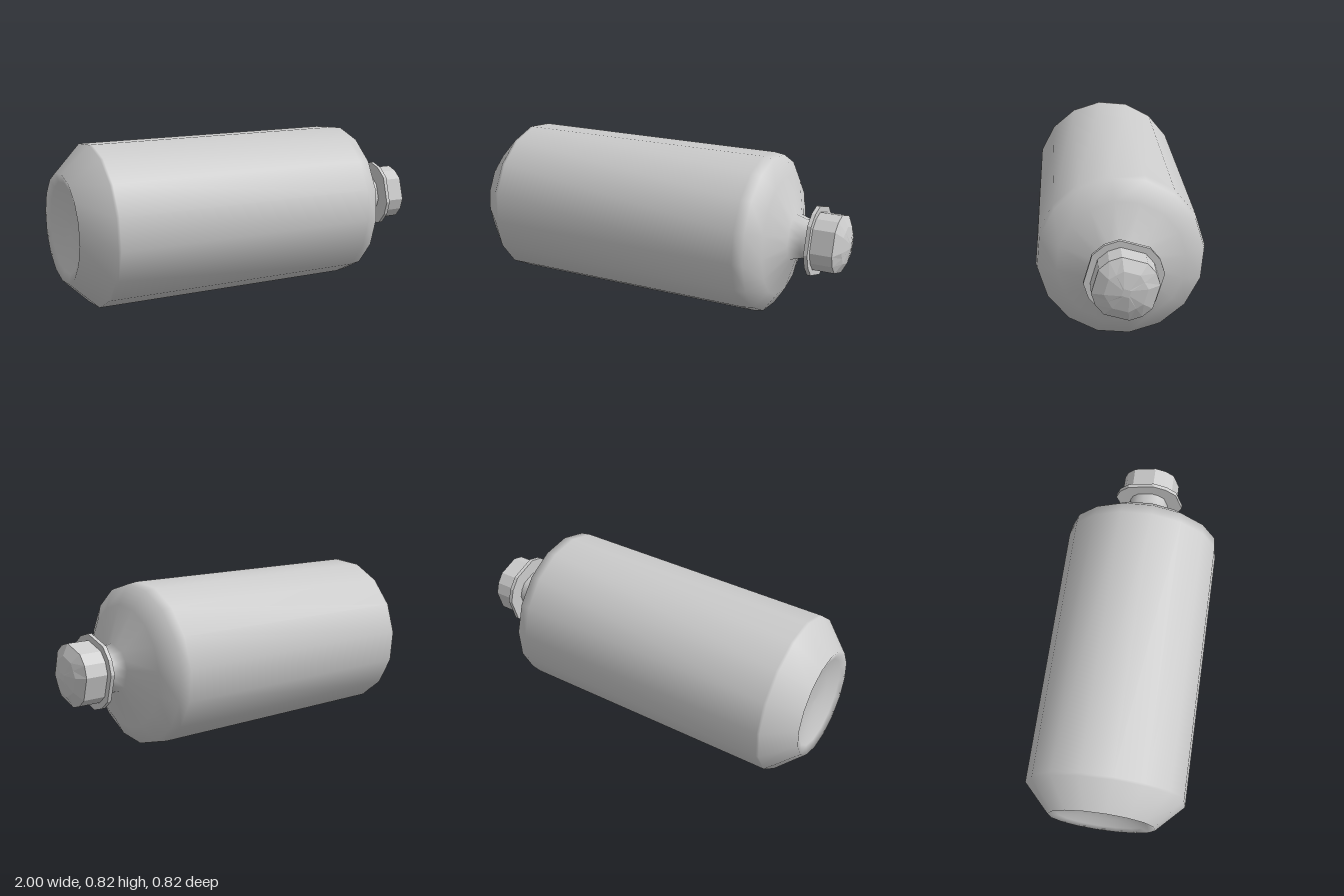
import * as THREE from 'three';

const SIDES = 16, START = -6 * Math.PI / 180, CENTRE_Y = 0.412;

// Which of the 16 corners a ring keeps; dropped corners lie on the chord between kept ones
const all = () => true;
const twelve = k => k % 4 !== 1;
const eight = k => k % 2 === 0;
const four = k => k % 4 === 3;

function corner(k, r) {
  const a = START + k * Math.PI * 2 / SIDES;
  return [CENTRE_Y + r * Math.cos(a), -r * Math.sin(a)];
}

function ringPoint(k, r, keep) {
  let lo = k, hi = k;
  while (!keep((lo + SIDES) % SIDES)) lo--;
  while (!keep(hi % SIDES)) hi++;
  const t = hi === lo ? 0 : (k - lo) / (hi - lo);
  const p = corner(lo, r), q = corner(hi, r);
  return [p[0] + (q[0] - p[0]) * t, p[1] + (q[1] - p[1]) * t];
}

// Skin a row of [x, radius, keep] rings along the x axis
function loft(name, rings, flat) {
  const pos = [], idx = [];
  rings.forEach(([x, r, keep = all], i) => {
    for (let k = 0; k < SIDES; k++) {
      pos.push(x, ...ringPoint(k, r, keep));
      if (i === rings.length - 1) continue;
      const a = i * SIDES + k, c = i * SIDES + (k + 1) % SIDES;
      const b = a + SIDES, d = c + SIDES;
      if (r > 0) idx.push(a, b, c);
      if (rings[i + 1][1] > 0) idx.push(c, b, d);
    }
  });
  let geo = new THREE.BufferGeometry();
  geo.setAttribute('position', new THREE.Float32BufferAttribute(pos, 3));
  geo.setIndex(idx);
  if (flat) geo = geo.toNonIndexed();
  geo.computeVertexNormals();
  const mesh = new THREE.Mesh(geo, new THREE.MeshStandardMaterial({ color: 0xcccccc, flatShading: flat }));
  mesh.name = name;
  return mesh;
}

export function createModel() {
  const group = new THREE.Group();
  group.name = 'bottle';

  // Bottle with dished base, chamfered heel, straight wall, shoulder and neck
  group.add(loft('bottleBody', [
    [-0.955, 0], [-0.96, 0.13], [-0.985, 0.23], [-1, 0.275],
    [-0.86, 0.412], [-0.845, 0.412], [0.54, 0.412], [0.595, 0.404],
    [0.655, 0.31], [0.715, 0.125, twelve], [0.775, 0.106, twelve], [0.83, 0.106, twelve],
  ], false));

  // Collar disc under the cap
  group.add(loft('capCollar', [
    [0.822, 0], [0.822, 0.188, twelve], [0.842, 0.188, twelve], [0.842, 0],
  ], true));

  // Faceted cap with a domed end and small square tip
  group.add(loft('cap', [
    [0.842, 0.156, twelve], [0.955, 0.156, twelve], [0.985, 0.1, eight],
    [1, 0.025, four], [1, 0],
  ], true));

  return group;
}
